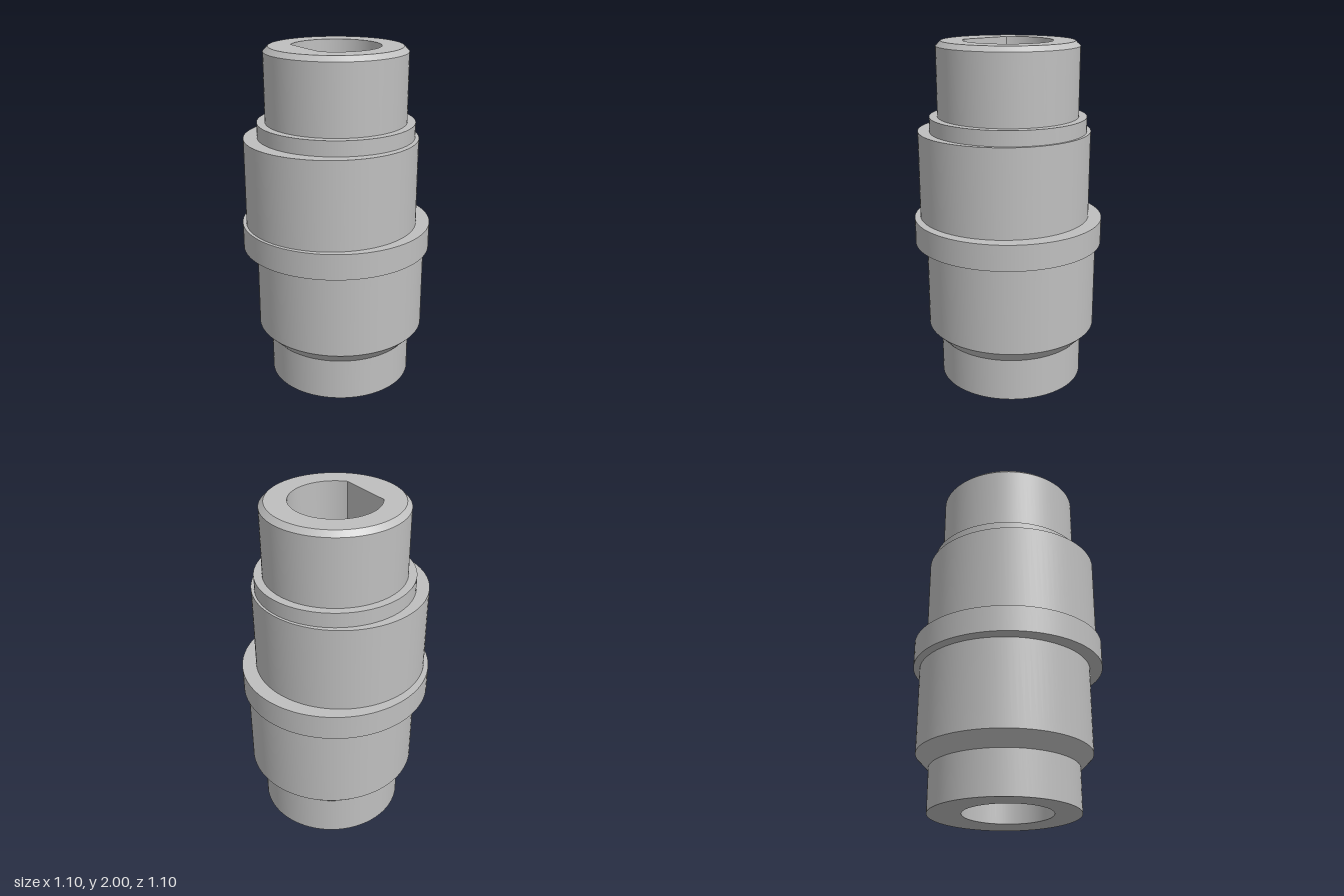
import * as THREE from 'three';

const SEG = 96;
const BORE = 0.253;      // bore radius
const FLAT_X = -0.2;     // position of the flat in the bore
const FLAT_Y = 1.0;      // the flat runs from here to the top
const HALF = Math.acos(-FLAT_X / BORE);

export function createModel() {
  const steel = new THREE.MeshStandardMaterial({ color: 0xbfbfbf });
  steel.name = 'steel grey';
  const model = new THREE.Group();
  model.name = 'eccentricShaft';

  const add = (parent, name, geometry) => {
    const mesh = new THREE.Mesh(geometry, steel);
    mesh.name = name;
    parent.add(mesh);
    return mesh;
  };
  const group = (name) => {
    const g = new THREE.Group();
    g.name = name;
    model.add(g);
    return g;
  };

  // Straight or conical wall; points running downwards make it face inwards
  const wall = (r0, y0, r1, y1, cx = 0, start = 0, length = Math.PI * 2) =>
    new THREE.LatheGeometry([new THREE.Vector2(r0, y0), new THREE.Vector2(r1, y1)], SEG, start, length)
      .translate(cx, 0, 0);

  const circle = (Type, r, cx = 0) => new Type().absarc(cx, 0, r, 0, Math.PI * 2, false);
  // Bore outline with its flat side
  const flatBore = (Type) => {
    const p = new Type().absarc(0, 0, BORE, -Math.PI + HALF, Math.PI - HALF, false);
    p.closePath();
    return p;
  };
  // Flat face at height y, facing up or down
  const face = (shape, hole, y, up) => {
    if (hole) shape.holes.push(hole);
    return new THREE.ShapeGeometry(shape, SEG / 2)
      .rotateX(up ? -Math.PI / 2 : Math.PI / 2).translate(0, y, 0);
  };
  const ring = (r, cx, holeR, holeCx, y, up) =>
    face(circle(THREE.Shape, r, cx), circle(THREE.Path, holeR, holeCx), y, up);

  const LOW = 0.03, HIGH = -0.034; // offsets of the two eccentrics

  // Lower journal and eccentric
  const lower = group('lowerEccentric');
  add(lower, 'bottomFace', ring(0.425, LOW, BORE, 0, 0, false));
  add(lower, 'lowerJournal', wall(0.425, 0, 0.425, 0.25, LOW));
  add(lower, 'lowerChamfer', wall(0.425, 0.25, 0.5, 0.328, LOW));
  add(lower, 'lowerLobe', wall(0.5, 0.328, 0.5, 0.835, LOW));

  // Central flange
  const flange = group('flange');
  add(flange, 'flangeUnderside', ring(0.552, 0, 0.5, LOW, 0.835, false));
  add(flange, 'flangeRim', wall(0.552, 0.835, 0.552, 0.985));
  add(flange, 'flangeTop', ring(0.552, 0, 0.5, HIGH, 0.985, true));

  // Upper eccentric
  const upper = group('upperEccentric');
  add(upper, 'upperLobe', wall(0.5, 0.985, 0.5, 1.492, HIGH));
  add(upper, 'upperLobeTop', ring(0.5, HIGH, 0.452, 0, 1.492, true));

  // Collar and upper journal
  const top = group('upperJournal');
  add(top, 'collar', wall(0.452, 1.492, 0.452, 1.578));
  add(top, 'collarTop', ring(0.452, 0, 0.405, 0, 1.578, true));
  add(top, 'journalWall', wall(0.405, 1.578, 0.405, 1.972));
  add(top, 'topChamfer', wall(0.405, 1.972, 0.377, 2));
  add(top, 'topFace', face(circle(THREE.Shape, 0.377), flatBore(THREE.Path), 2, true));

  // Bore: round below, with a flat above
  const bore = group('bore');
  add(bore, 'roundBore', wall(BORE, FLAT_Y, BORE, 0));
  add(bore, 'keyedBore', wall(BORE, 2, BORE, FLAT_Y, 0, -Math.PI / 2 + HALF, 2 * (Math.PI - HALF)));
  add(bore, 'boreFlat', new THREE.PlaneGeometry(2 * BORE * Math.sin(HALF), 2 - FLAT_Y)
    .rotateY(Math.PI / 2).translate(FLAT_X, (2 + FLAT_Y) / 2, 0));
  const step = new THREE.Shape().absarc(0, 0, BORE, Math.PI - HALF, Math.PI + HALF, false);
  step.closePath();
  add(bore, 'boreStep', face(step, null, FLAT_Y, false));

  return model;
}
